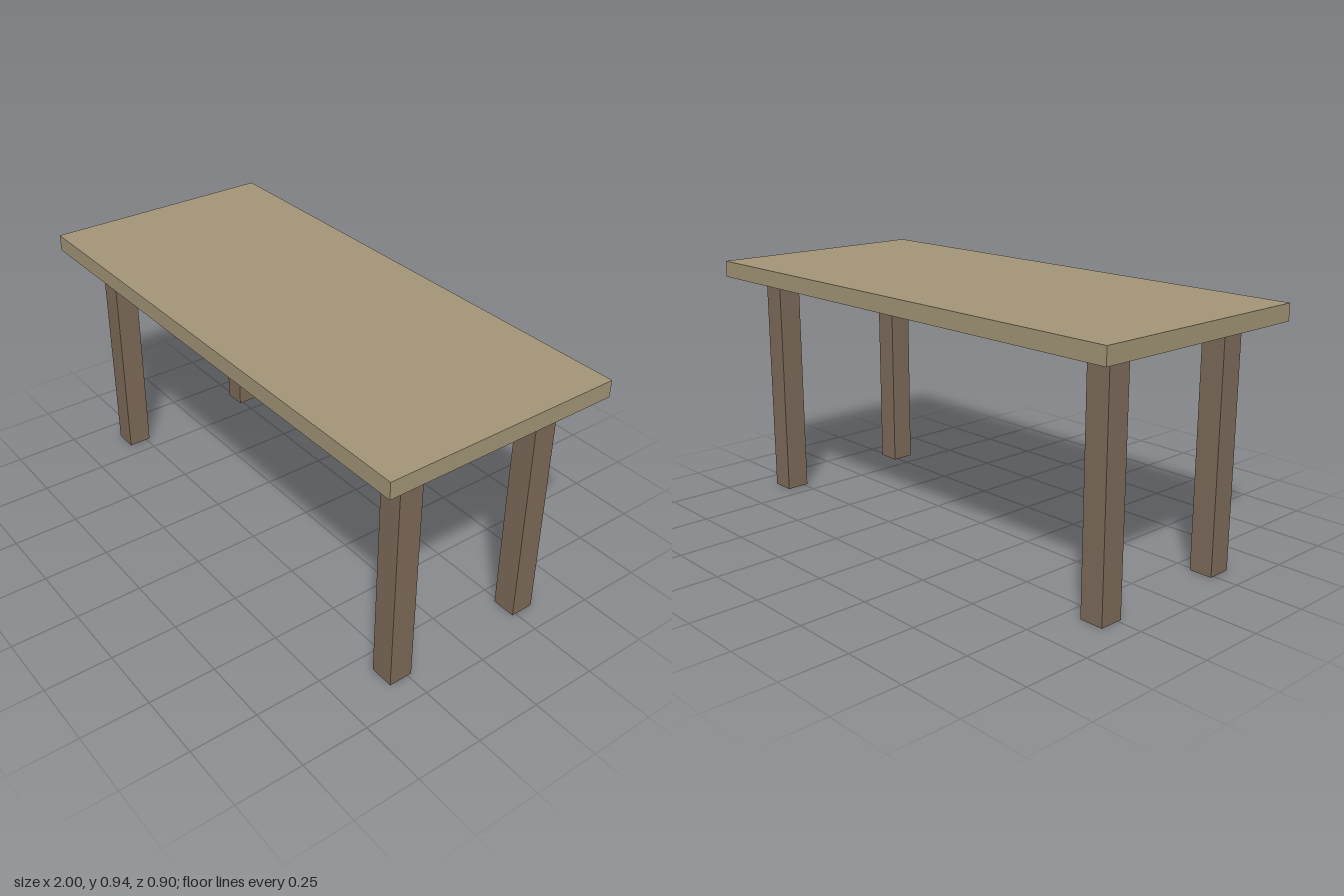
import * as THREE from 'three';

const TOP_Y = 0.94, THICKNESS = 0.062, LEG_SIZE = 0.09;
const LEG_HEIGHT = TOP_Y - THICKNESS;

export function createModel() {
  const table = new THREE.Group();
  table.name = 'table';

  const topMaterial = new THREE.MeshStandardMaterial({ color: 0xa39577 });
  const legMaterial = new THREE.MeshStandardMaterial({ color: 0x7d6b59 });

  // Flat rectangular slab
  const top = new THREE.Mesh(new THREE.BoxGeometry(2, THICKNESS, 0.9), topMaterial);
  top.name = 'tableTop';
  top.position.y = TOP_Y - THICKNESS / 2;
  table.add(top);

  // Four square legs, set in from the corners
  const legGeometry = new THREE.BoxGeometry(LEG_SIZE, LEG_HEIGHT, LEG_SIZE);
  for (const [side, x] of [['Left', 0.86], ['Right', -0.86]]) {
    for (const [end, z] of [['front', 0.28], ['back', -0.28]]) {
      const leg = new THREE.Mesh(legGeometry, legMaterial);
      leg.name = `${end}${side}Leg`;
      leg.position.set(x, LEG_HEIGHT / 2, z);
      table.add(leg);
    }
  }

  return table;
}
